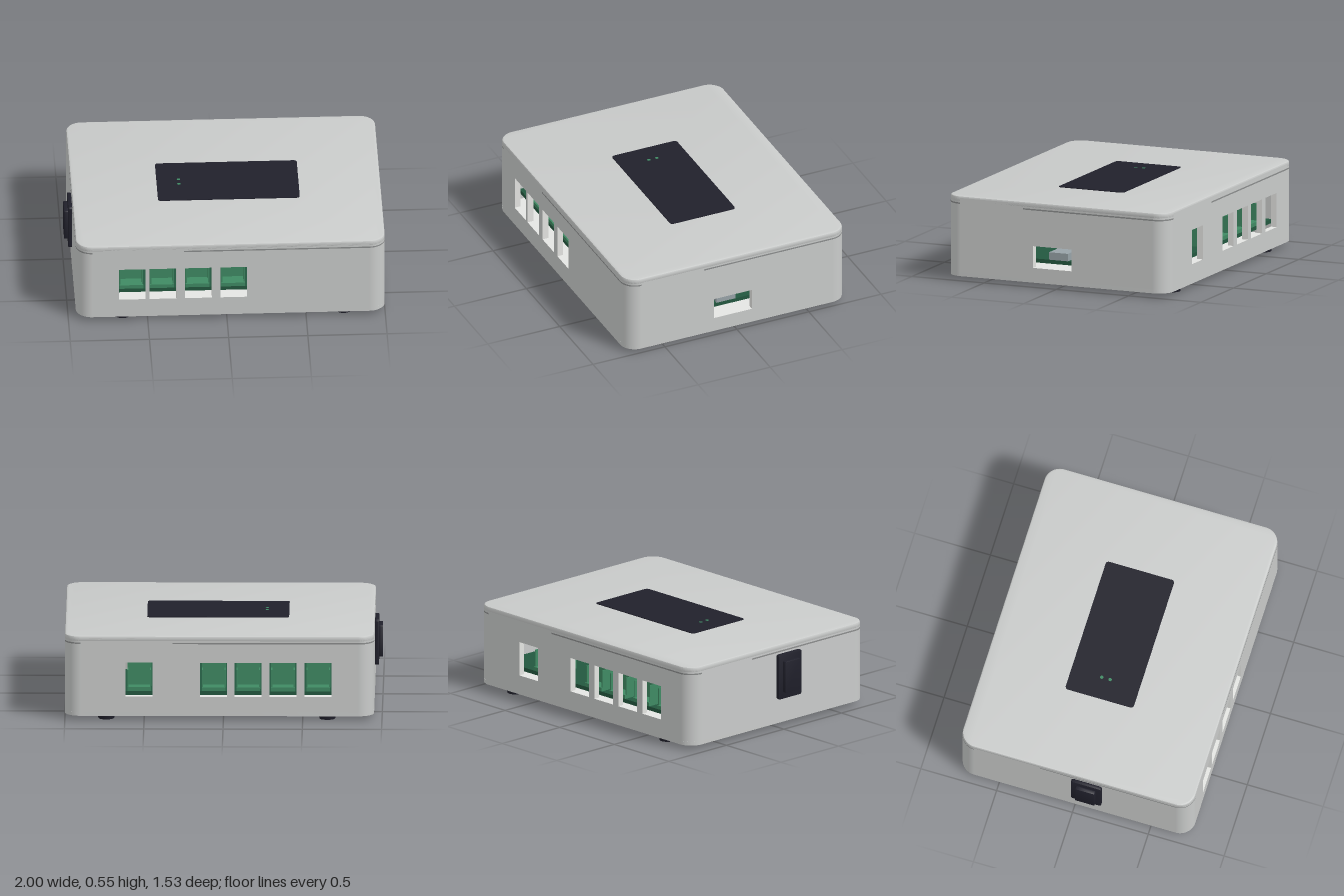
import * as THREE from 'three';
import { toCreasedNormals } from 'three/addons/utils/BufferGeometryUtils.js';

const mat = (name, color, side = THREE.FrontSide) => {
  const m = new THREE.MeshStandardMaterial({ color, side });
  m.name = name;
  return m;
};

export function createModel() {
  const casing = mat('casing grey', 0xc9cbca, THREE.DoubleSide);
  const inner = mat('inner white', 0xe4e5e2);
  const black = mat('black plastic', 0x20202b);
  const green = mat('terminal green', 0x3f8a63);
  const board = mat('board green', 0x23583f);
  const metal = mat('metal', 0x98a3a8);
  const seamGrey = mat('seam grey', 0x8c8e8e, THREE.DoubleSide);
  const screwGrey = mat('screw grey', 0x55585a);

  const model = new THREE.Group();
  model.name = 'controllerBox';
  const CX = 0.025, HX = 0.975, HZ = 0.765, R = 0.1, T = 0.04;
  const Y0 = 0.03, Y1 = 0.533;

  const add = (name, geo, material, x = 0, y = 0, z = 0, parent = model) => {
    const m = new THREE.Mesh(geo, material);
    m.name = name;
    m.position.set(x, y, z);
    parent.add(m);
    return m;
  };
  // box from its limits
  const box = (name, material, x0, x1, y0, y1, z0, z1, parent = model) =>
    add(name, new THREE.BoxGeometry(x1 - x0, y1 - y0, z1 - z0), material,
      (x0 + x1) / 2, (y0 + y1) / 2, (z0 + z1) / 2, parent);
  // horizontal rounded plate with an optional edge bevel, starting at y = 0
  const plate = (hx, hz, r, h, bevel = 0) => {
    const a = hx - bevel, b = hz - bevel, c = r - bevel;
    const s = new THREE.Shape();
    s.absarc(a - c, b - c, c, 0, Math.PI / 2);
    s.absarc(-a + c, b - c, c, Math.PI / 2, Math.PI);
    s.absarc(-a + c, -b + c, c, Math.PI, Math.PI * 1.5);
    s.absarc(a - c, -b + c, c, Math.PI * 1.5, Math.PI * 2);
    const g = new THREE.ExtrudeGeometry(s, {
      depth: h - 2 * bevel, bevelEnabled: bevel > 0, bevelSize: bevel,
      bevelThickness: bevel, bevelSegments: 2, curveSegments: 10,
    });
    g.translate(0, 0, bevel).rotateX(-Math.PI / 2);
    return toCreasedNormals(g, 0.6);
  };

  // lid, base and inside floor
  add('lid', plate(HX, HZ, R, 0.04, 0.01), casing, CX, 0.505, 0);
  add('base', plate(HX, HZ, R, 0.025), casing, CX, Y0, 0);
  box('insideFloor', inner, CX - 0.93, CX + 0.93, 0.055, 0.06, -0.72, 0.72);

  // walls with cut-outs; holes are [u0, u1, y0, y1] seen from outside
  const wall = (name, half, dist, turn, holes) => {
    const g = new THREE.Group();
    g.name = name;
    g.position.x = CX;
    g.rotation.y = turn;
    model.add(g);
    const w = half - R, s = new THREE.Shape();
    s.moveTo(-w, Y0).lineTo(w, Y0).lineTo(w, Y1).lineTo(-w, Y1).closePath();
    for (const [a, b, c, d] of holes) {
      const h = new THREE.Path();
      h.moveTo(a, c).lineTo(a, d).lineTo(b, d).lineTo(b, c).closePath();
      s.holes.push(h);
    }
    add(name + 'Panel', new THREE.ExtrudeGeometry(s, { depth: T, bevelEnabled: false }),
      [casing, inner], 0, 0, dist - T, g);
    const start = half > 0.9 ? -0.295 : -0.23;
    box('seam', seamGrey, start, w, 0.495, 0.504, dist - 0.002, dist + 0.001, g);
  };
  const frontX = [-0.598, -0.405, -0.18, 0.043];
  const backX = [0.532, 0.062, -0.156, -0.375, -0.597];
  const opening = u => [u - 0.085, u + 0.085, 0.155, 0.375];
  wall('frontWall', HX, HZ, 0, frontX.map(x => opening(x - CX)));
  wall('backWall', HX, HZ, Math.PI, backX.map(x => opening(CX - x)));
  wall('rightWall', HZ, HX, Math.PI / 2, [[-0.16, 0.105, 0.125, 0.265]]);
  wall('leftWall', HZ, HX, -Math.PI / 2, []);

  // rounded corners with the seam running round them
  [[1, 1], [1, -1], [-1, -1], [-1, 1]].forEach(([sx, sz], i) => {
    const x = CX + sx * (HX - R), z = sz * (HZ - R), a = i * Math.PI / 2;
    const arc = (r, h) => new THREE.CylinderGeometry(r, r, h, 12, 1, true, a, Math.PI / 2);
    add('corner', arc(R, Y1 - Y0), casing, x, (Y0 + Y1) / 2, z);
    add('cornerSeam', arc(R + 0.001, 0.009), seamGrey, x, 0.4995, z);

    // foot and countersunk cross-head screw
    add('foot', new THREE.CylinderGeometry(0.055, 0.05, 0.034, 28), black,
      CX + 0.017 + sx * 0.697, 0.017, sz * 0.685);
    const px = CX + sx * 0.878, pz = sz * 0.685;
    add('screw', new THREE.CylinderGeometry(0.04, 0.04, 0.006, 24), screwGrey, px, 0.029, pz);
    for (const [w, d] of [[0.048, 0.01], [0.01, 0.048]])
      add('screwSlot', new THREE.BoxGeometry(w, 0.002, d), black, px, 0.0255, pz);
  });

  // status panel with two lights
  add('statusPanel', plate(0.4475, 0.225, 0.02, 0.005), black, 0.0375, 0.5445, -0.005);
  for (const z of [-0.03, 0.025])
    add('statusLight', new THREE.CylinderGeometry(0.011, 0.011, 0.008, 16), green, -0.27, 0.547, z);

  // rocker switch on the left-hand wall
  const rim = plate(0.1475, 0.1, 0.015, 0.025, 0.005).rotateZ(Math.PI / 2);
  add('switchRim', rim, black, -0.95, 0.3375, 0.08);
  const rocker = plate(0.1025, 0.065, 0.01, 0.028, 0.004).rotateZ(Math.PI / 2);
  add('switchRocker', rocker, black, -0.972, 0.3375, 0.08);
  box('switchBody', black, -0.94, -0.7, 0.22, 0.45, -0.02, 0.16);

  // circuit board and terminal blocks
  box('circuitBoard', board, -0.86, 0.9, 0.14, 0.165, -0.65, 0.65);
  const terminal = (x, side) => {
    const g = new THREE.Group();
    g.name = 'terminalBlock';
    g.position.x = x;
    g.rotation.y = side > 0 ? 0 : Math.PI;
    model.add(g);
    box('terminalBody', green, -0.075, 0.075, 0.165, 0.36, 0.42, 0.57, g);
    box('terminalLip', green, -0.075, 0.075, 0.165, 0.19, 0.57, 0.65, g);
    for (const s of [-1, 1])
      box('terminalCheek', green, s * 0.071 - 0.004, s * 0.071 + 0.004, 0.165, 0.3, 0.57, 0.64, g);
  };
  frontX.forEach(x => terminal(x, 1));
  backX.forEach(x => terminal(x, -1));

  // parts behind the side opening
  box('dataSocket', metal, 0.72, 0.9, 0.165, 0.213, -0.035, 0.095);
  box('relay', black, 0.25, 0.45, 0.165, 0.33, -0.12, 0.1);
  for (const z of [-0.02, 0.033])
    add('capacitor', new THREE.CylinderGeometry(0.025, 0.025, 0.15, 20), inner, 0.6, 0.24, z);
  box('supportPost', inner, 0.5, 0.56, 0.165, 0.4, 0.105, 0.17);
  return model;
}
